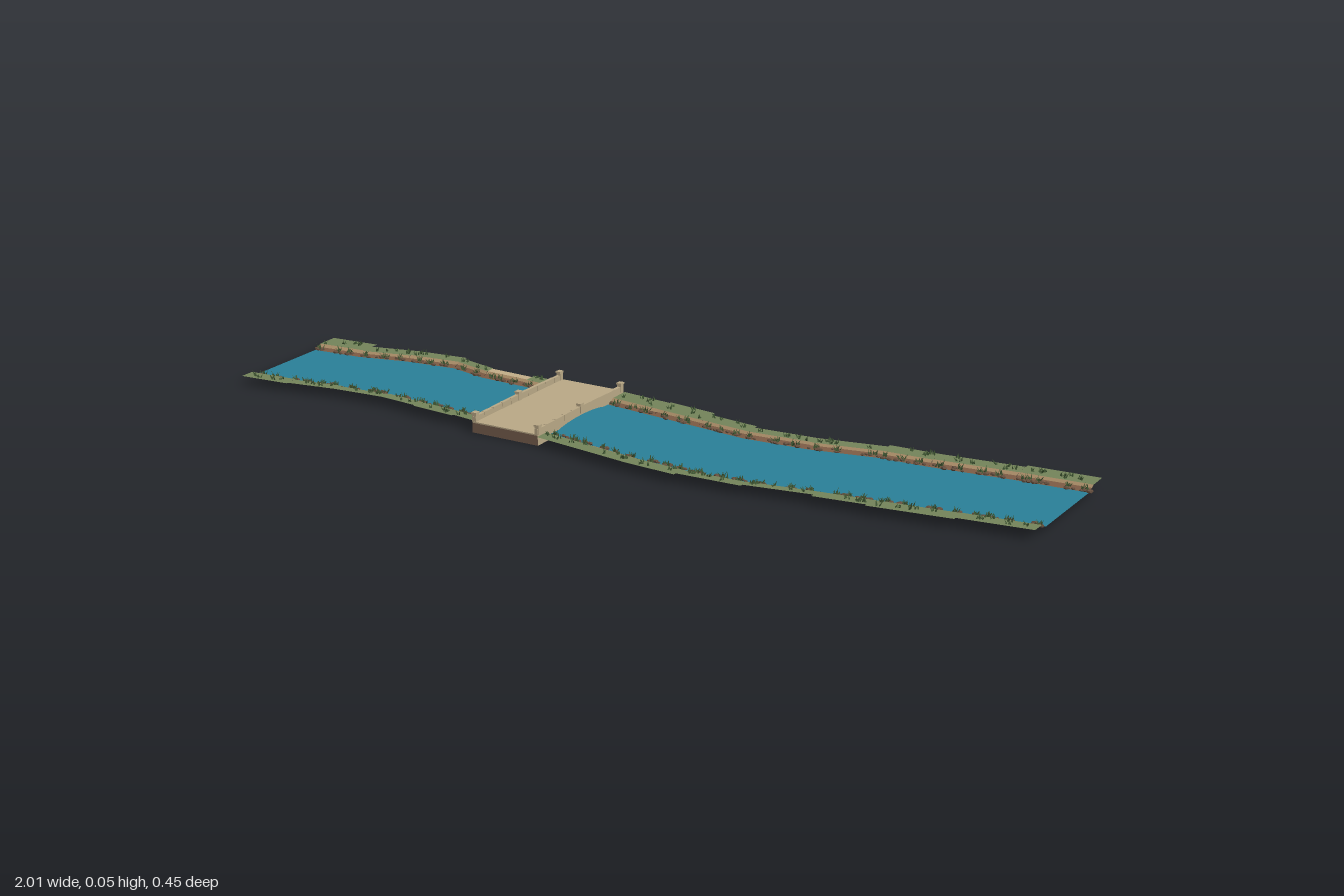
import * as THREE from 'three';
import { mergeGeometries } from 'three/addons/utils/BufferGeometryUtils.js';

const mat = (name, color, extra = {}) => {
  const m = new THREE.MeshStandardMaterial({ color, flatShading: true, ...extra });
  m.name = name;
  return m;
};
const both = { side: THREE.DoubleSide };

// River stations along x and the shoreline z on both banks
const X = [-1, -.875, -.755, -.625, -.525, -.41, -.345, -.165, -.035, .09, .215, .37, .525, .645, .835, 1];
const NORTH = [-.115, -.125, -.155, -.17, -.145, -.14, -.135, -.13, -.115, -.10, -.085, -.095, -.125, -.13, -.15, -.16];
const SOUTH = [.11, .10, .08, .07, .08, .09, .10, .11, .13, .15, .16, .155, .13, .115, .09, .07];
// Bank width in each cell between stations
const NORTH_W = [.075, .055, .055, .045, .042, .052, 0, .07, .075, .06, .05, .05, .06, .06, .07];
const SOUTH_W = [.055, .05, .05, .05, .055, .05, 0, .06, .06, .06, .052, .045, .055, .062, .055];
const BRIDGE_CELL = 6, SAND_CELL = 4;
const WATER_Y = 0.012, GRASS_Y = 0.023;

let seed = 7;
const rand = () => (seed = (seed * 16807) % 2147483647) / 2147483647;
const range = (a, b) => a + (b - a) * rand();

// Upward facing quads, each given as [x0, x1, near pair, far pair] of [z, y]
function quads(list) {
  const p = [];
  for (const [x0, x1, a0, a1, b0, b1] of list) {
    const A = [x0, a0[1], a0[0]], B = [x1, a1[1], a1[0]], C = [x1, b1[1], b1[0]], D = [x0, b0[1], b0[0]];
    const order = b0[0] > a0[0] ? [A, C, B, A, D, C] : [A, B, C, A, C, D];
    order.forEach(v => p.push(...v));
  }
  const g = new THREE.BufferGeometry();
  g.setAttribute('position', new THREE.Float32BufferAttribute(p, 3));
  g.computeVertexNormals();
  return g;
}

export function createModel() {
  const root = new THREE.Group();
  root.name = 'riverWithBridge';
  const water = mat('water', 0x2a8098, both);
  const grass = mat('grass', 0x74845a, both);
  const earth = mat('earth', 0xa38763, both);
  const mud = mat('mud', 0x7d5c45, both);
  const sand = mat('sand', 0xc2ae88, both);
  const stone = mat('stone', 0xb9a886);
  const darkStone = mat('darkStone', 0x765d4c);
  const rock = mat('rock', 0x66503f);
  const leaf = mat('leaf', 0x3c5230);

  const add = (parent, name, geometry, material, x = 0, y = 0, z = 0) => {
    const m = new THREE.Mesh(geometry, material);
    m.name = name;
    m.position.set(x, y, z);
    parent.add(m);
    return m;
  };

  // Water surface
  const strip = [];
  for (let i = 0; i < X.length - 1; i++)
    strip.push([X[i], X[i + 1], [NORTH[i], WATER_Y], [NORTH[i + 1], WATER_Y], [SOUTH[i], WATER_Y], [SOUTH[i + 1], WATER_Y]]);
  add(root, 'waterSurface', quads(strip), water);

  // Banks: mud at the water, earth slope, stepped grass ledge
  function bank(name, edge, widths, s) {
    const group = new THREE.Group();
    group.name = name;
    root.add(group);
    const layers = { mud: [], earth: [], grass: [], sand: [] };
    const rocks = [], blades = [];

    const tuft = (x, y, z, n, h) => {
      for (let k = 0; k < n; k++) {
        const height = h * range(.6, 1.1);
        const g = new THREE.ConeGeometry(.0022, height, 3, 1, true);
        g.translate(0, height / 2, 0);
        g.rotateX(range(-.6, .6));
        g.rotateZ(range(-.6, .6));
        g.translate(x + range(-.005, .005), y, z + range(-.004, .004));
        blades.push(g);
      }
    };

    for (let i = 0; i < X.length - 1; i++) {
      if (i === BRIDGE_CELL) continue;
      const e0 = edge[i], e1 = edge[i + 1], w = widths[i], sandy = s < 0 && i === SAND_CELL;
      const shore = range(.01, .015), ledge = shore + range(.006, .012);
      const rows = [[0, WATER_Y], [shore, .018], [ledge, .0225], [w, GRASS_Y]];
      ['mud', 'earth', sandy ? 'sand' : 'grass'].forEach((layer, r) => {
        const at = (e, q) => [e + s * q[0], q[1]];
        layers[layer].push([X[i], X[i + 1], at(e0, rows[r]), at(e1, rows[r]), at(e0, rows[r + 1]), at(e1, rows[r + 1])]);
      });

      // Rocks and reeds in clumps along the shore, tufts on the grass
      const len = X[i + 1] - X[i];
      const place = t => [X[i] + t * len, e0 + (e1 - e0) * t];
      const clumps = Math.max(1, Math.round(len / .045));
      for (let c = 0; c < clumps; c++) {
        const [cx, cz] = place((c + range(.2, .8)) / clumps);
        for (let k = 0; k < 4; k++) {
          const r = range(.003, .006);
          const g = new THREE.DodecahedronGeometry(r, 0);
          g.rotateY(range(0, 6));
          g.scale(1.3, .75, 1);
          g.translate(cx + range(-.016, .016), .015, cz + s * range(-.003, .009));
          rocks.push(g);
        }
        tuft(cx, .014, cz + s * .004, 6, .015);
        tuft(cx + range(-.012, .012), .016, cz + s * .008, 4, .014);
      }
      if (sandy) continue;
      for (let c = 0; c < Math.round(len / .025); c++) {
        const [cx, cz] = place(range(.08, .92));
        tuft(cx, GRASS_Y, cz + s * range(ledge + .003, w - .008), 4, .012);
      }
    }
    add(group, name + 'Mud', quads(layers.mud), mud);
    add(group, name + 'Earth', quads(layers.earth), earth);
    add(group, name + 'Grass', quads(layers.grass), grass);
    if (layers.sand.length) add(group, name + 'SandPatch', quads(layers.sand), sand);
    add(group, name + 'Rocks', mergeGeometries(rocks), rock);
    add(group, name + 'Reeds', mergeGeometries(blades), leaf);
  }
  bank('backBank', NORTH, NORTH_W, -1);
  bank('frontBank', SOUTH, SOUTH_W, 1);

  // Bridge body: arch profile in z and y, extruded across x
  const bridge = new THREE.Group();
  bridge.name = 'bridge';
  root.add(bridge);
  const x0 = -.342, x1 = -.167, zF = .163, zB = -.198, zMid = (zF + zB) / 2, len = zF - zB;
  const profile = new THREE.Shape();
  profile.moveTo(-zF, 0);
  profile.lineTo(-.1, 0);
  for (let k = 1; k <= 12; k++) {
    const a = Math.PI * k / 12;
    profile.lineTo(.0175 - .1175 * Math.cos(a), .0205 * Math.sin(a));
  }
  profile.lineTo(-zB, 0);
  profile.lineTo(-zB, .023);
  profile.lineTo(-zF, .023);
  const body = new THREE.ExtrudeGeometry(profile, { depth: x1 - x0, bevelEnabled: false });
  body.rotateY(Math.PI / 2);
  add(bridge, 'archBody', body, [stone, darkStone], x0);
  add(bridge, 'deck', new THREE.BoxGeometry(x1 - x0, .003, len), stone, (x0 + x1) / 2, .0245, zMid);

  // Parapets built from blocks, with posts at the ends and the middle
  for (const [side, x] of [['right', x0 + .004], ['left', x1 - .004]]) {
    const n = 10;
    for (let k = 0; k < n; k++) {
      const t = (k + .5) / n;
      const h = .0125 + .0025 * Math.sin(Math.PI * t);
      add(bridge, side + 'ParapetBlock', new THREE.BoxGeometry(.008, h, len / n - .0006), stone, x, .0255 + h / 2, zB + len * t);
    }
    for (const z of [zF - .007, zMid, zB + .007]) {
      add(bridge, side + 'Post', new THREE.BoxGeometry(.011, .019, .011), stone, x, .0345, z);
      add(bridge, side + 'PostCap', new THREE.BoxGeometry(.013, .004, .015), stone, x, .0455, z);
    }
  }
  return root;
}
